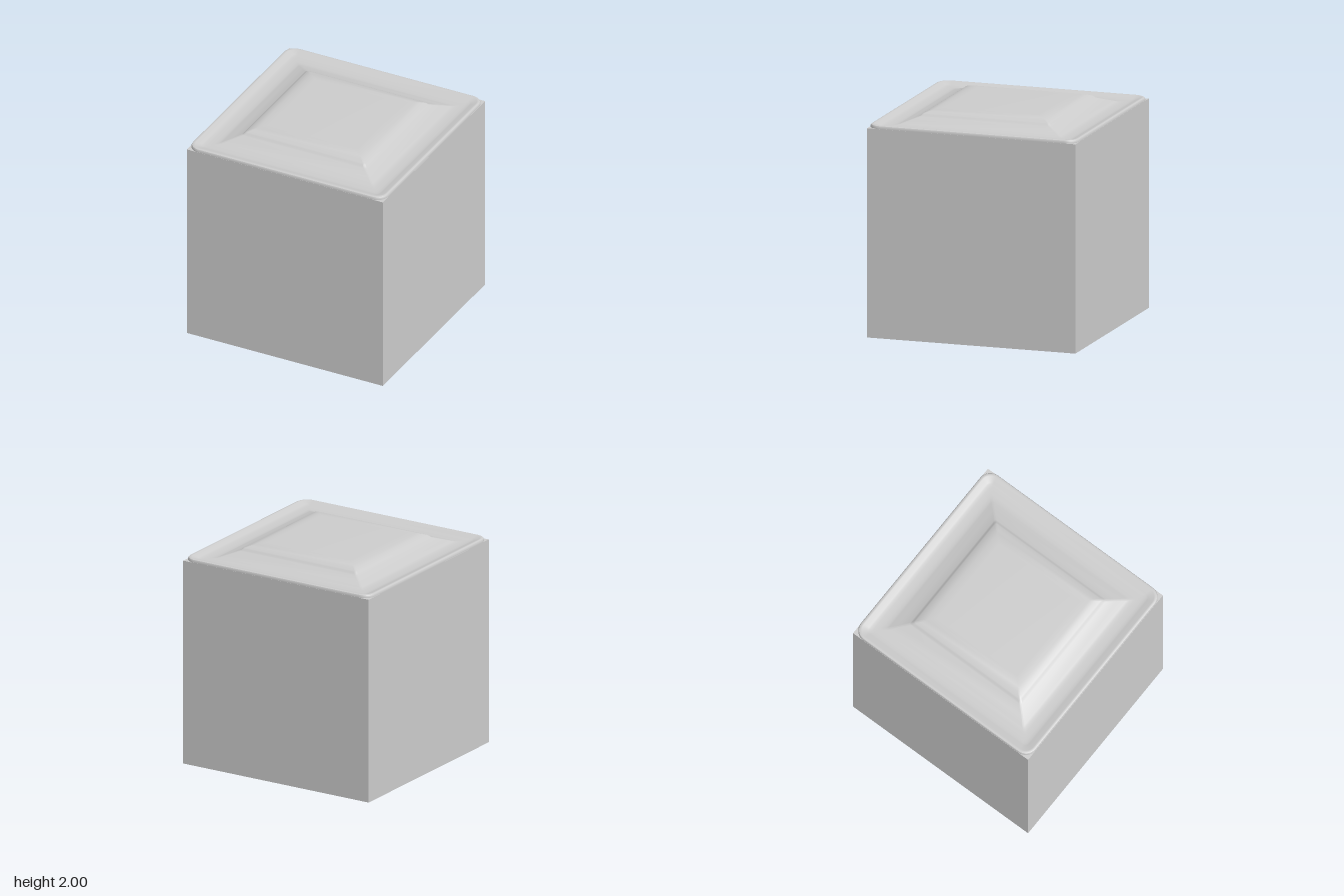
import * as THREE from 'three';
import { toCreasedNormals } from 'three/addons/utils/BufferGeometryUtils.js';

const grey = new THREE.MeshStandardMaterial({ color: 0xcccccc });

// Points of a rounded square ring: half size, height, corner radius
function ring(half, y, r, seg) {
  const pts = [];
  for (let c = 0; c < 4; c++) {
    const mid = Math.PI / 4 + c * Math.PI / 2;
    const cx = Math.sign(Math.cos(mid)) * (half - r);
    const cz = Math.sign(Math.sin(mid)) * (half - r);
    for (let i = 0; i <= seg; i++) {
      const a = (c + i / seg) * Math.PI / 2;
      pts.push(cx + r * Math.cos(a), y, cz + r * Math.sin(a));
    }
  }
  return pts;
}

// Skin over a stack of rings, closed at the last one
function loftRings(rows, seg) {
  const n = 4 * (seg + 1);
  const pos = rows.flatMap(([h, y, r]) => ring(h, y, r, seg));
  const centre = rows.length * n;
  pos.push(0, rows[rows.length - 1][1], 0);
  const index = [];
  for (let k = 0; k < rows.length; k++) {
    for (let j = 0; j < n; j++) {
      const a = k * n + j, b = k * n + (j + 1) % n;
      if (k === rows.length - 1) index.push(a, centre, b);
      else index.push(a, a + n, b, b, a + n, b + n);
    }
  }
  const g = new THREE.BufferGeometry();
  g.setAttribute('position', new THREE.Float32BufferAttribute(pos, 3));
  g.setIndex(index);
  return toCreasedNormals(g, 0.6);
}

export function createModel() {
  const group = new THREE.Group();

  // Plain square block
  const block = new THREE.Mesh(new THREE.BoxGeometry(1.942, 1.885, 1.942), grey);
  block.name = 'block';
  block.position.y = 1.885 / 2;
  group.add(block);

  // Rim, sunken channel and raised centre panel in one skin
  const profile = [
    [0.97, 1.885, 0.11], [0.97, 1.9, 0.11], [0.964, 1.91, 0.105], [0.952, 1.915, 0.095],
    [0.94, 1.913, 0.085], [0.89, 1.894, 0.045], [0.875, 1.89, 0.035], [0.85, 1.888, 0.03],
    [0.8, 1.887, 0.02], [0.77, 1.889, 0.02], [0.75, 1.894, 0.02], [0.69, 1.916, 0.02],
    [0.62, 1.942, 0.02], [0.607, 1.949, 0.02], [0.598, 1.96, 0.02], [0.585, 1.968, 0.015],
    [0.55, 1.981, 0.01], [0.51, 1.991, 0.006], [0.475, 1.998, 0.004], [0.44, 2, 0.003],
  ];
  const lid = new THREE.Mesh(loftRings(profile, 8), grey);
  lid.name = 'topPanel';
  group.add(lid);

  return group;
}
